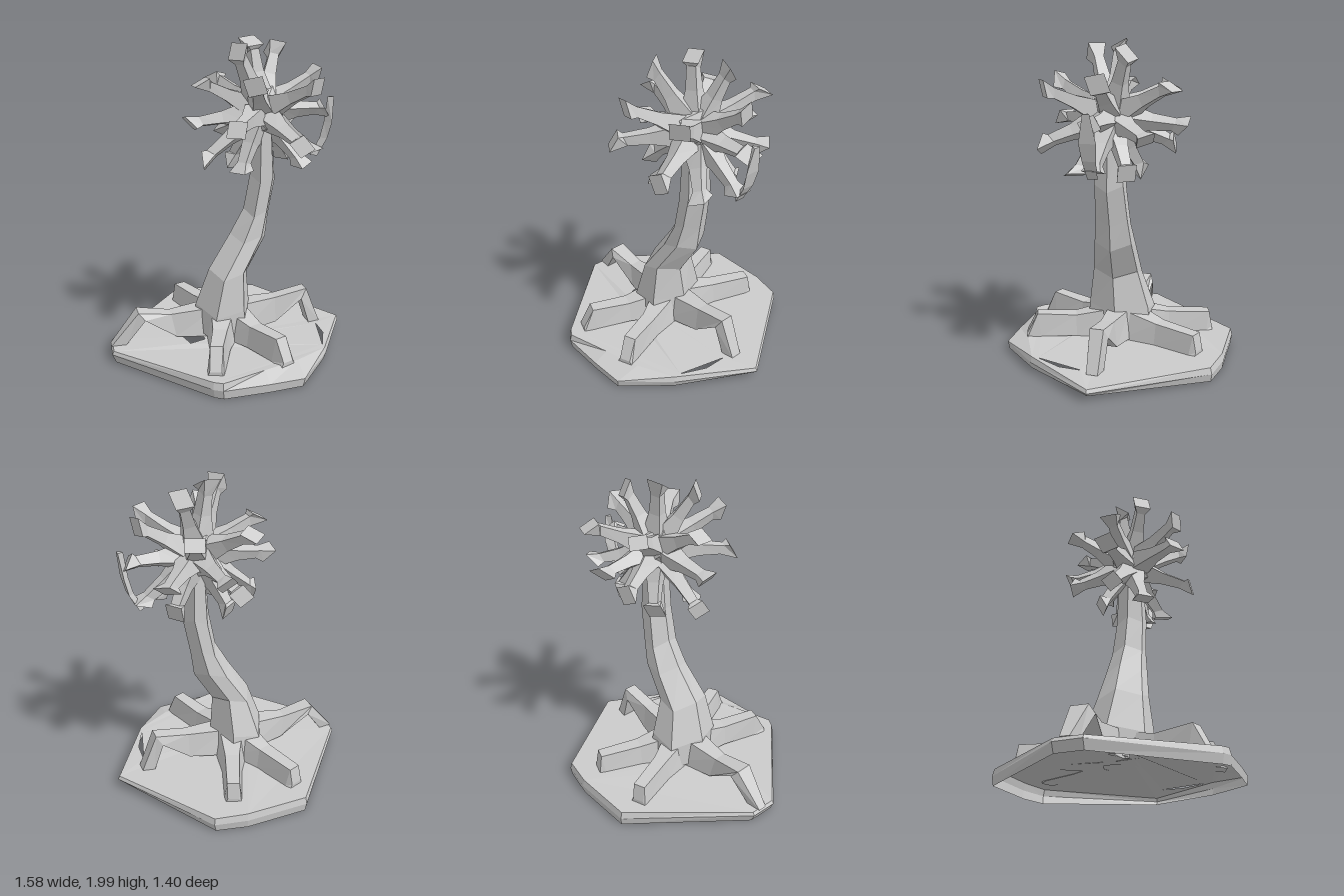
import * as THREE from 'three';

const material = new THREE.MeshStandardMaterial({ color: 0xcccccc, flatShading: true, side: THREE.DoubleSide });
const V = (x, y, z) => new THREE.Vector3(x, y, z);

function mesh(name, geometry) {
  const m = new THREE.Mesh(geometry, material);
  m.name = name;
  return m;
}

// Joins closed rings of points into a faceted skin, optionally capping both ends
function loft(rings, capped = true) {
  const pos = [];
  const tri = (...pts) => pts.forEach((p) => pos.push(p.x, p.y, p.z));
  const n = rings[0].length;
  for (let r = 0; r + 1 < rings.length; r++) {
    for (let i = 0; i < n; i++) {
      const j = (i + 1) % n, a = rings[r], b = rings[r + 1];
      tri(a[i], a[j], b[j]);
      tri(a[i], b[j], b[i]);
    }
  }
  if (capped) {
    const first = rings[0], last = rings[rings.length - 1];
    for (let i = 1; i + 1 < n; i++) {
      tri(first[0], first[i + 1], first[i]);
      tri(last[0], last[i], last[i + 1]);
    }
  }
  const g = new THREE.BufferGeometry();
  g.setAttribute('position', new THREE.Float32BufferAttribute(pos, 3));
  g.computeVertexNormals();
  return g;
}

// Ground: an open-bottomed slab with two gaps in its top and a broad slope at the front left
function createGround() {
  const ground = new THREE.Group();
  ground.name = 'ground';
  const outline = [[-0.24, -0.7], [0.16, -0.7], [0.36, -0.66], [0.785, -0.02], [0.51, 0.43], [0.27, 0.69],
    [0.05, 0.7], [-0.23, 0.7], [-0.28, 0.67], [-0.79, 0.1], [-0.78, -0.07]];
  const topEdge = outline.map(([x, z]) => [x * 0.985, z * 0.985]);
  topEdge[5] = [0.28, 0.54];
  topEdge[6] = [0.05, 0.61];
  const topY = (x) => 0.105 - 0.04 * x * x;
  const lowY = (x, z) => 0.005 + 0.045 * Math.max(0, x - 0.1) * (1 - Math.abs(z));
  const to2 = ([x, z]) => new THREE.Vector2(x, z);
  const shape = new THREE.Shape(topEdge.map(to2));
  shape.holes.push(
    new THREE.Path([[-0.33, 0.05], [-0.2, 0.1], [-0.2, 0.13], [-0.3, 0.16]].map(to2)),
    new THREE.Path([[0.58, 0.08], [0.575, 0.22], [0.505, 0.38]].map(to2)),
  );
  const top = new THREE.ShapeGeometry(shape);
  const p = top.attributes.position;
  for (let i = 0; i < p.count; i++) {
    const x = p.getX(i), z = p.getY(i);
    p.setXYZ(i, x, topY(x), z);
  }
  top.computeVertexNormals();
  const rim = [
    topEdge.map(([x, z]) => V(x, topY(x), z)),
    outline.map(([x, z]) => V(x, 0.06, z)),
    outline.map(([x, z]) => V(x * 0.97, lowY(x, z), z * 0.99)),
  ];
  ground.add(mesh('groundTop', top), mesh('groundRim', loft(rim, false)));
  return ground;
}

// Trunk: six-sided rings [y, xMin, xMax, zMin, zMax] following the bend
function createTrunk() {
  const rows = [
    [0.12, -0.24, 0.15, -0.21, 0.21], [0.28, -0.23, 0.13, -0.19, 0.2], [0.52, -0.145, 0.105, -0.12, 0.17],
    [0.74, 0.0, 0.235, -0.115, 0.12], [0.9, 0.09, 0.255, -0.1, 0.1], [1.12, 0.13, 0.295, -0.085, 0.095],
    [1.45, 0.15, 0.27, -0.07, 0.08],
  ];
  return mesh('trunk', loft(rows.map(([y, x0, x1, z0, z1]) => Array.from({ length: 6 }, (_, i) => {
    const a = -i * Math.PI / 3;
    return V((x0 + x1) / 2 + Math.cos(a) * (x1 - x0) / 2,
      y + (i % 2 ? 0.02 : -0.02),
      (z0 + z1) / 2 + Math.sin(a) / 0.866 * (z1 - z0) / 2);
  }))));
}

// Root: box sections [top distance, top y, bottom distance, bottom y, half width]
function createRoot([ox, dx, dz], rows) {
  const d = V(dx, 0, dz).normalize();
  const s = V(-d.z, 0, d.x);
  const point = (r, y, w) => V(ox, y, 0).addScaledVector(d, r).addScaledVector(s, w);
  return mesh('root', loft(rows.map(([rt, yt, rb, yb, w]) => [
    point(rt, yt, w * 0.7), point(rt, yt, -w * 0.7), point(rb, yb, -w), point(rb, yb, w),
  ])));
}

function createRoots() {
  const roots = new THREE.Group();
  roots.name = 'roots';
  roots.add(createRoot([0, -1, 0], [
    [0.1, 0.29, 0.1, 0.1, 0.11], [0.4, 0.26, 0.37, 0.11, 0.06],
    [0.61, 0.295, 0.57, 0.25, 0.075], [0.785, 0.08, 0.69, 0.085, 0.04]]));
  roots.add(createRoot([0, 1, 0], [
    [0.05, 0.28, 0.05, 0.1, 0.1], [0.3, 0.295, 0.3, 0.13, 0.06],
    [0.52, 0.335, 0.48, 0.27, 0.06], [0.62, 0.09, 0.54, 0.09, 0.05]]));
  for (const [dz, knee, foot, y] of [[-0.57, 0.57, 0.59, 0.225], [0.57, 0.55, 0.62, 0.25]]) {
    const rows = [[0.08, 0.28, 0.08, 0.1, 0.11], [0.3, 0.235, 0.3, 0.1, 0.065],
      [knee, y, knee - 0.02, 0.1, 0.055], [foot, 0.12, foot, 0.09, 0.05]];
    roots.add(createRoot([-0.04, -0.2, dz], rows), createRoot([-0.02, 0.22, dz], rows));
  }
  return roots;
}

// Branch: narrow four-sided arm with a flared, slanting end
function createBranch(core, tip, k) {
  const d = tip.clone().sub(core);
  const length = d.length();
  d.normalize();
  const side = V(0, 1, 0).cross(d);
  if (side.length() < 0.3) side.set(0, 0, 1).cross(d);
  side.normalize();
  const up = d.clone().cross(side);
  const twist = (k % 3) * 0.3;
  const ring = (t, w, h, skew) => [[1, 1], [-1, 1], [-1, -1], [1, -1]].map(([a, b]) => {
    const u = a * Math.cos(twist) - b * Math.sin(twist), v = a * Math.sin(twist) + b * Math.cos(twist);
    return core.clone().addScaledVector(d, t * length + b * skew)
      .addScaledVector(side, u * w).addScaledVector(up, v * h);
  });
  return mesh('branch', loft([
    ring(0.25, 0.062, 0.062, 0), ring(0.55, 0.038, 0.036, 0),
    ring(0.84, 0.03, 0.028, 0.01), ring(0.98, 0.056, 0.042, k % 2 ? 0.03 : -0.03),
  ]));
}

function createCrown() {
  const crown = new THREE.Group();
  crown.name = 'crown';
  const center = V(0.2, 1.54, 0);
  const core = mesh('crownCore', new THREE.IcosahedronGeometry(1, 0));
  core.scale.set(0.145, 0.18, 0.15);
  core.position.copy(center);
  crown.add(core);
  const tips = [
    [-0.19, 1.73, 0], [-0.26, 1.48, 0], [-0.18, 1.24, 0.01],
    [0.0, 1.92, 0.16], [0.14, 1.97, -0.03], [0.33, 1.92, -0.13],
    [-0.07, 1.5, 0.4], [0.04, 1.74, 0.39], [0.33, 1.38, 0.4], [0.44, 1.72, 0.34],
    [-0.02, 1.73, -0.32], [0.18, 1.5, -0.44], [0.35, 1.74, -0.39], [0.48, 1.45, -0.28], [0.06, 1.38, -0.36],
    [0.03, 1.19, 0.15], [0.05, 1.2, -0.15], [0.42, 1.22, 0.16], [0.4, 1.24, -0.15],
    [0.57, 1.76, -0.03], [0.63, 1.54, 0], [0.56, 1.27, 0],
  ];
  tips.forEach((t, k) => crown.add(createBranch(center, V(...t), k)));
  // Thin bow joining two of the side branches
  const bow = [[0.675, 1.61, 0.02], [0.655, 1.45, 0.05], [0.63, 1.35, 0.04], [0.57, 1.24, 0.03]];
  crown.add(mesh('sideBow', loft(bow.map(([x, y, w]) => [V(x, y, w), V(x, y, -w), V(x - 0.035, y, 0)]))));
  return crown;
}

export function createModel() {
  const model = new THREE.Group();
  model.name = 'tree';
  model.add(createGround(), createRoots(), createTrunk(), createCrown());
  return model;
}
